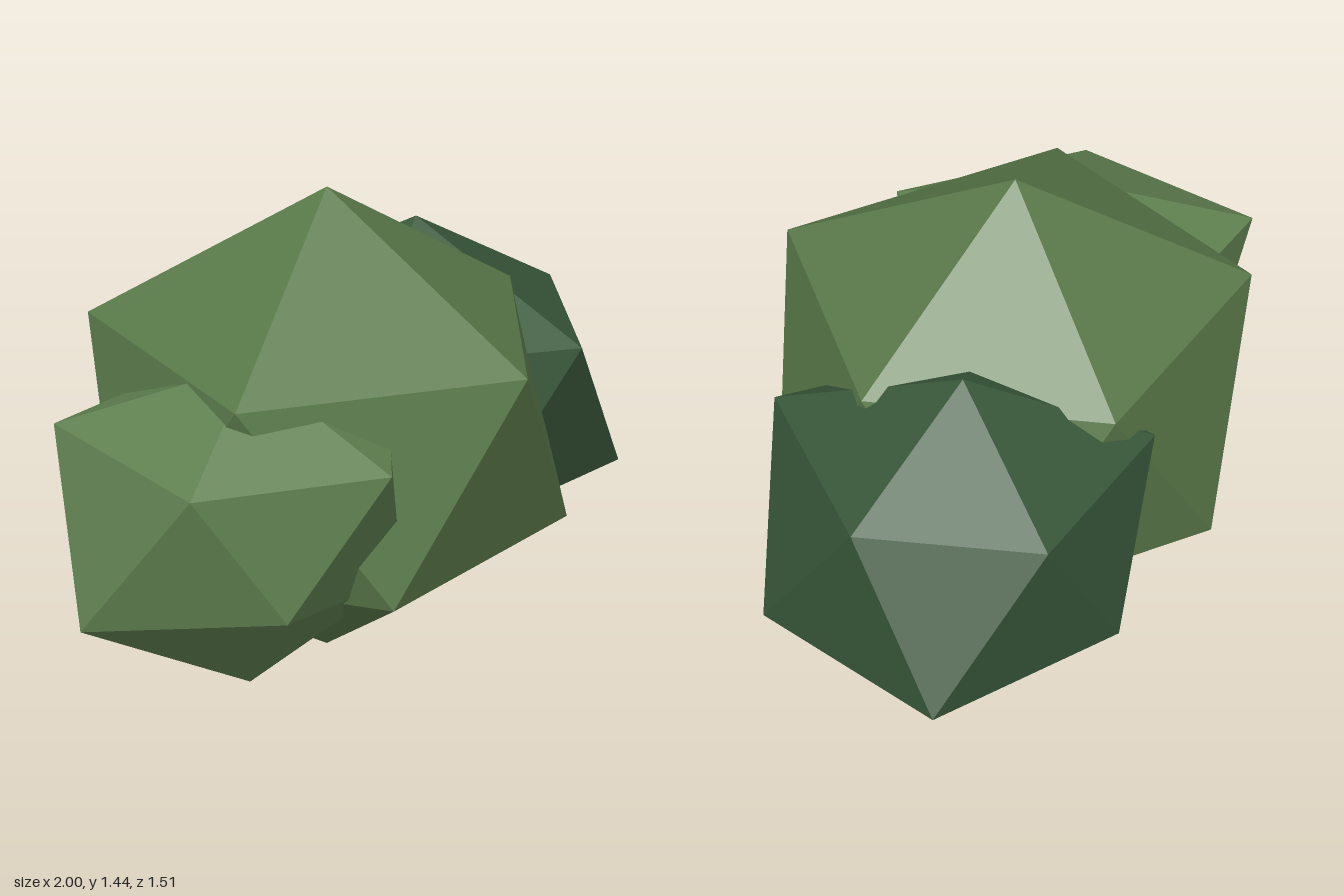
import * as THREE from 'three';

// Faceted boulder: a loosened icosahedron from a top point, two rings of five and a bottom point.
function lump(name, material, top, upper, lower, bottom) {
  const pos = [];
  const face = (...pts) => pts.forEach((p) => pos.push(...p));
  for (let i = 0; i < 5; i++) {
    const j = (i + 1) % 5;
    face(top, upper[j], upper[i]);
    face(upper[i], upper[j], lower[i]);
    face(lower[i], upper[j], lower[j]);
    face(bottom, lower[i], lower[j]);
  }
  const geometry = new THREE.BufferGeometry();
  geometry.setAttribute('position', new THREE.Float32BufferAttribute(pos, 3));
  geometry.computeVertexNormals();
  const mesh = new THREE.Mesh(geometry, material);
  mesh.name = name;
  return mesh;
}

export function createModel() {
  const paint = (name, color) => {
    const m = new THREE.MeshStandardMaterial({ color });
    m.name = name;
    return m;
  };
  const leafGreen = paint('leafGreen', 0x5a7a4a);
  const lightGreen = paint('lightGreen', 0x5f8050);
  const darkGreen = paint('darkGreen', 0x38573a);

  const group = new THREE.Group();
  group.name = 'bush';

  // Large middle clump
  group.add(lump('middleFoliage', leafGreen, [0.02, 1.44, 0],
    [[0.66, 0.99, -0.01], [0.25, 1.035, 0.69], [-0.58, 1.035, 0.42], [-0.53, 1.03, -0.41], [0.2, 0.96, -0.58]],
    [[0.58, 0.41, 0.4], [-0.2, 0.41, 0.67], [-0.69, 0.41, 0], [-0.17, 0.41, -0.6], [0.55, 0.41, -0.4]],
    [0.02, 0, 0]));

  // Lower clump at the front, on the -x side
  group.add(lump('frontFoliage', lightGreen, [-0.42, 1.09, 0.26],
    [[0.06, 0.87, 0.26], [-0.26, 0.88, 0.75], [-0.81, 0.855, 0.53], [-0.87, 0.89, -0.08], [-0.26, 0.87, -0.24]],
    [[-0.04, 0.41, 0.48], [-0.56, 0.455, 0.66], [-1, 0.39, 0.25], [-0.53, 0.41, -0.16], [0, 0.41, 0]],
    [-0.42, 0.09, 0.26]));

  // Dark clump at the back, on the +x side
  group.add(lump('backFoliage', darkGreen, [0.51, 1.12, -0.27],
    [[0.98, 0.81, -0.28], [0.7, 0.87, 0.3], [0.08, 0.86, 0.04], [0.06, 0.86, -0.6], [0.66, 0.825, -0.76]],
    [[0.98, 0.36, 0.07], [0.36, 0.36, 0.22], [0, 0.38, -0.27], [0.36, 0.39, -0.75], [1, 0.35, -0.63]],
    [0.51, 0.14, -0.27]));

  return group;
}
